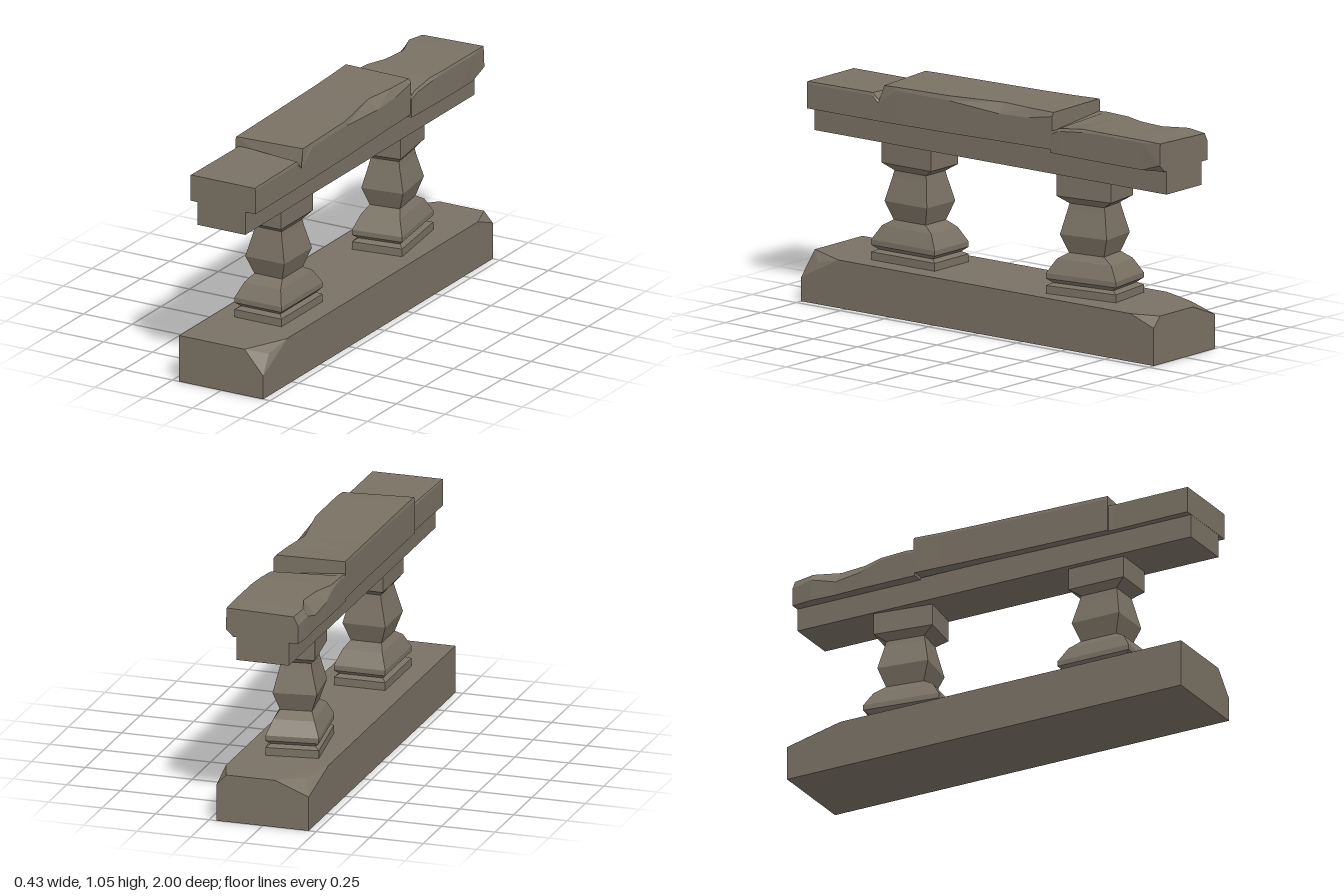
import * as THREE from 'three';
import { ConvexGeometry } from 'three/addons/geometries/ConvexGeometry.js';

// Skin a closed solid over rings of [x, y, z] points; rings run counter-clockwise seen from the first end
function loft(rings) {
  const pos = [];
  const tri = (a, b, c) => pos.push(...a, ...b, ...c);
  const n = rings[0].length;
  for (let i = 0; i < rings.length - 1; i++) {
    const a = rings[i], b = rings[i + 1];
    for (let j = 0; j < n; j++) {
      const k = (j + 1) % n;
      tri(a[j], b[j], b[k]);
      tri(a[j], b[k], a[k]);
    }
  }
  const first = rings[0], last = rings[rings.length - 1];
  for (let j = 1; j < n - 1; j++) {
    tri(first[0], first[j], first[j + 1]);
    tri(last[0], last[j + 1], last[j]);
  }
  const geo = new THREE.BufferGeometry();
  geo.setAttribute('position', new THREE.Float32BufferAttribute(pos, 3));
  geo.computeVertexNormals();
  return geo;
}

// Coping stone from stations: z, bottom y, right [side x, side y, top x, top y], left [same], top setback in z
function coping(stations) {
  return loft(stations.map(([z, yb, r, l, zr = 0, inset = 0]) => [
    [r[0] - inset, yb, z], [r[0], r[1], z], [r[2], r[3], z + zr],
    [l[2], l[3], z], [l[0], l[1], z], [l[0], yb, z],
  ]));
}

export function createModel() {
  const group = new THREE.Group();
  const stone = new THREE.MeshStandardMaterial({ color: 0x7a7164, flatShading: true });
  stone.name = 'weathered stone';
  const add = (name, geo) => {
    const mesh = new THREE.Mesh(geo, stone);
    mesh.name = name;
    group.add(mesh);
    return mesh;
  };

  // Plinth with three broken top corners
  const W = 0.215, H = 0.218;
  const plinth = [
    [-W, 0, 1], [W, 0, 1], [-W, 0, -1], [W, 0, -1], [-W, H, 1],
    [0.12, H, 1], [W, 0.11, 1], [W, H, 0.79], [0.197, 0.185, 0.92],
    [0.17, H, -1], [W, 0.17, -1], [W, H, -0.87],
    [-0.06, H, -1], [-W, 0.157, -1], [-W, H, -0.73], [-0.17, 0.21, -0.9],
  ];
  add('plinth', new ConvexGeometry(plinth.map((p) => new THREE.Vector3(...p))));

  // Square balusters: [y, half width x, half depth z] from the top down
  const profile = [
    [0.76, 0.095, 0.14], [0.66, 0.095, 0.14], [0.628, 0.068, 0.09], [0.6, 0.073, 0.096],
    [0.49, 0.1, 0.12], [0.405, 0.072, 0.09], [0.375, 0.093, 0.14], [0.31, 0.12, 0.18],
    [0.286, 0.12, 0.18], [0.266, 0.1, 0.155], [0.254, 0.12, 0.18], [0.21, 0.12, 0.18],
  ];
  const balusterGeo = loft(profile.map(([y, x, z]) => [[x, y, z], [x, y, -z], [-x, y, -z], [-x, y, z]]));
  [[0.5, 0], [-0.493, 0.14]].forEach(([z, turn], i) => {
    const baluster = add(i ? 'backBaluster' : 'frontBaluster', balusterGeo);
    baluster.position.z = z;
    baluster.rotation.y = turn;
  });

  // Rail under the coping
  const rail = add('lowerRail', new THREE.BoxGeometry(0.246, 0.115, 1.998));
  rail.position.y = 0.8175;

  // Front coping stone, dipping at the joint
  add('frontCoping', coping([
    [1, 0.868, [0.175, 0.98, 0.172, 0.99], [-0.158, 0.985, -0.155, 0.99]],
    [0.63, 0.868, [0.174, 0.98, 0.17, 0.993], [-0.152, 0.985, -0.147, 0.993]],
    [0.59, 0.868, [0.173, 0.945, 0.165, 0.955], [-0.155, 0.98, -0.15, 0.993]],
  ]));

  // Raised middle coping stone with a chipped right edge
  add('middleCoping', coping([
    [0.597, 0.868, [0.173, 0.95, 0.165, 1.033], [-0.164, 1.02, -0.16, 1.036], -0.028],
    [0.5, 0.869, [0.173, 1.02, 0.168, 1.036], [-0.164, 1.02, -0.16, 1.038]],
    [0.2, 0.872, [0.171, 1.02, 0.164, 1.04], [-0.166, 1.025, -0.163, 1.041]],
    [-0.08, 0.876, [0.165, 1.0, 0.118, 1.043], [-0.169, 1.03, -0.166, 1.044]],
    [-0.24, 0.878, [0.163, 1.005, 0.14, 1.045], [-0.172, 1.035, -0.169, 1.047]],
    [-0.38, 0.88, [0.162, 1.03, 0.15, 1.047], [-0.175, 1.04, -0.173, 1.051]],
  ]));

  // Back coping stone with a scooped left edge and a broken end corner
  add('backCoping', coping([
    [-0.375, 0.866, [0.165, 0.95, 0.16, 0.963], [-0.175, 0.98, -0.17, 0.995]],
    [-0.42, 0.866, [0.168, 0.97, 0.16, 0.982], [-0.175, 0.985, -0.172, 0.998]],
    [-0.55, 0.866, [0.172, 0.985, 0.16, 0.998], [-0.175, 0.98, -0.165, 0.996]],
    [-0.65, 0.866, [0.173, 0.99, 0.168, 1], [-0.175, 0.945, -0.13, 0.995]],
    [-0.78, 0.866, [0.174, 0.99, 0.169, 1], [-0.17, 0.93, -0.115, 0.995]],
    [-0.9, 0.866, [0.175, 0.99, 0.17, 1], [-0.175, 0.965, -0.155, 0.998], 0, 0.004],
    [-1, 0.866, [0.172, 0.9, 0.168, 0.998], [-0.165, 0.95, -0.145, 0.99], 0, 0.035],
  ]));

  return group;
}
